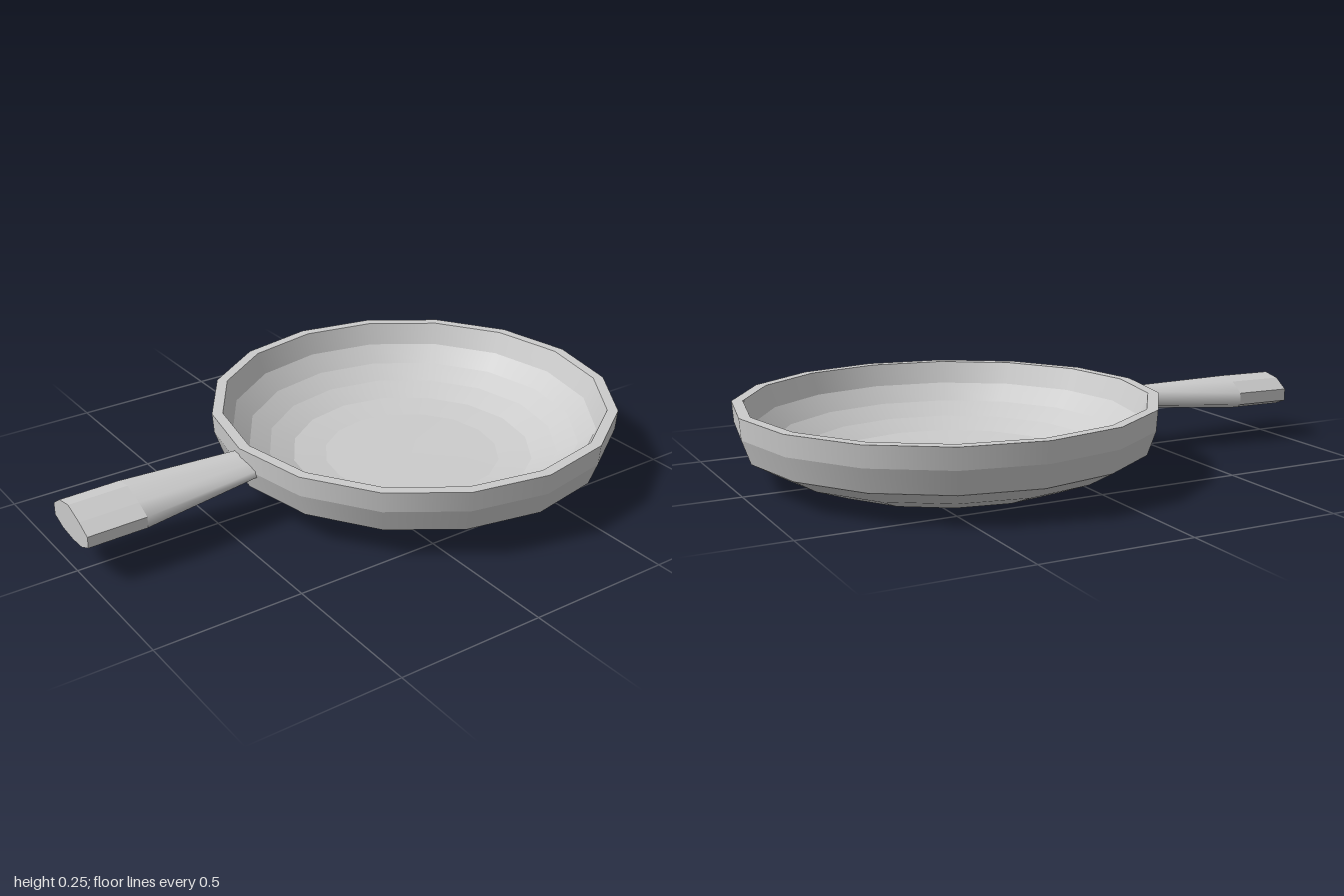
import * as THREE from 'three';
import { mergeGeometries } from 'three/addons/utils/BufferGeometryUtils.js';

const material = new THREE.MeshStandardMaterial({ color: 0xcccccc });

// Revolved bands: smooth around, hard edges between bands
function bandedLathe(profile, sides) {
  const bands = [];
  for (let i = 0; i < profile.length - 1; i++) {
    const pair = [profile[i], profile[i + 1]].map(([r, y]) => new THREE.Vector2(r, y));
    bands.push(new THREE.LatheGeometry(pair, sides));
  }
  return mergeGeometries(bands);
}

// Skin between rings of [x, y, z] points, optionally closing the first ring
function loft(rings, capStart) {
  const n = rings[0].length;
  const index = [];
  const points = rings.flat();
  for (let r = 0; r < rings.length - 1; r++) {
    for (let i = 0; i < n; i++) {
      const a = r * n + i, b = r * n + (i + 1) % n;
      index.push(a, a + n, b, b, a + n, b + n);
    }
  }
  if (capStart) for (let i = 1; i < n - 1; i++) index.push(0, i, i + 1);
  const geometry = new THREE.BufferGeometry();
  geometry.setAttribute('position', new THREE.Float32BufferAttribute(points.flat(), 3));
  geometry.setIndex(index);
  return geometry;
}

export function createModel() {
  const group = new THREE.Group();
  const add = (name, geometry) => {
    const mesh = new THREE.Mesh(geometry, material);
    mesh.name = name;
    group.add(mesh);
    return mesh;
  };

  // Pan bowl: underside, outer wall, rim, inner wall, floor
  const bowl = add('bowl', bandedLathe([
    [0, 0], [0.455, 0], [0.585, 0.05], [0.672, 0.1], [0.7, 0.18], [0.705, 0.25],
    [0.668, 0.25], [0.637, 0.175], [0.58, 0.118], [0.51, 0.075], [0.425, 0.04], [0.31, 0.025], [0, 0.022],
  ], 16));
  bowl.position.x = 0.295;

  // Handle cross-section as [z, y] offsets from its middle
  const section = [
    [0.12, -0.032], [0.12, 0.006], [0.068, 0.032], [-0.005, 0.058], [-0.07, 0.046],
    [-0.12, 0.012], [-0.12, -0.03], [-0.068, -0.05], [0.005, -0.058], [0.07, -0.054],
  ];
  const ring = (x, y, z, scale) => section.map(([dz, dy]) => [x, y + dy * scale, z + dz * scale]);

  // Straight faceted grip
  const grip = loft([ring(-1, 0.167, -0.015, 1), ring(-0.8, 0.17, -0.015, 1)], true).toNonIndexed();
  grip.computeVertexNormals();
  add('handleGrip', grip);

  // Smooth neck tapering into the wall
  const neck = loft([ring(-0.8, 0.17, -0.015, 1), ring(-0.375, 0.187, -0.008, 0.62)], false);
  neck.computeVertexNormals();
  add('handleNeck', neck);

  return group;
}
